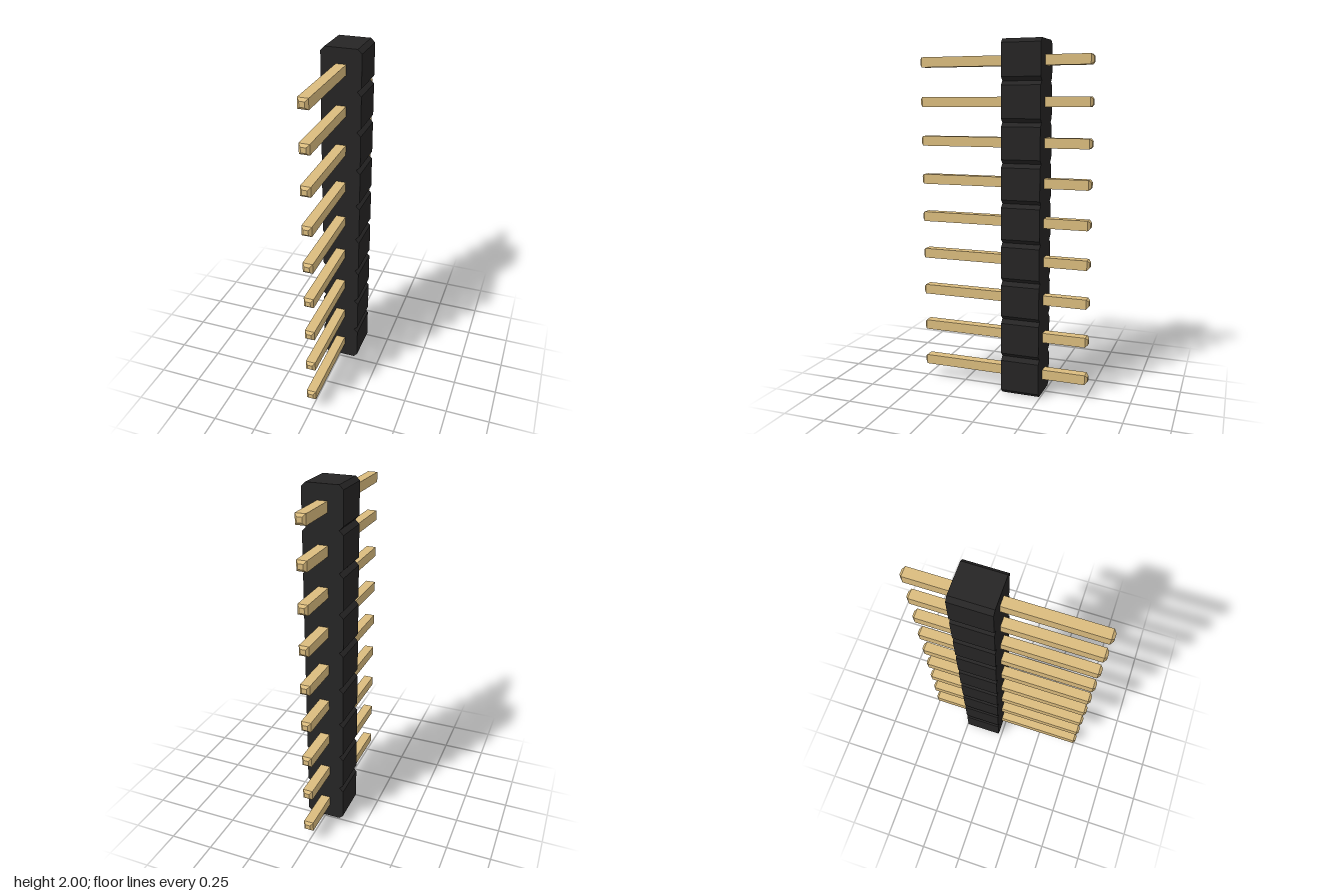
import * as THREE from 'three';

const COUNT = 9;
const PITCH = 2 / COUNT;
const HALF = PITCH / 2;       // body half width
const CHAMFER = PITCH / 10;   // notch between neighbouring blocks
const BODY_BACK = -0.2424;
const PIN_END = 0.505;
const PIN_HALF = 0.028;
const TIP = 0.014;            // length and half width of the pin tip

// One chamfered block per pin, merged into a single outline
function bodyGeometry() {
  const outline = [];
  for (let i = 0; i < COUNT; i++) {
    const y0 = i * PITCH, y1 = y0 + PITCH;
    outline.push([HALF - CHAMFER, y0], [HALF, y0 + CHAMFER], [HALF, y1 - CHAMFER]);
    if (i === COUNT - 1) outline.push([HALF - CHAMFER, y1]);
  }
  const right = outline.map(([x, y]) => new THREE.Vector2(x, y));
  const left = outline.map(([x, y]) => new THREE.Vector2(-x, y)).reverse();
  const geometry = new THREE.ExtrudeGeometry(new THREE.Shape([...right, ...left]), {
    depth: PITCH, bevelEnabled: false,
  });
  return geometry.translate(0, 0, BODY_BACK);
}

// Square bar along z with a tapered tip at each end
function pinGeometry() {
  const profile = [
    [0, -PIN_END], [TIP, -PIN_END], [PIN_HALF, -PIN_END + TIP],
    [PIN_HALF, PIN_END - TIP], [TIP, PIN_END], [0, PIN_END],
  ].map(([half, along]) => new THREE.Vector2(half * Math.SQRT2, along));
  const geometry = new THREE.LatheGeometry(profile, 4, Math.PI / 4).toNonIndexed();
  geometry.rotateX(Math.PI / 2);
  geometry.computeVertexNormals();
  return geometry;
}

export function createModel() {
  const black = new THREE.MeshStandardMaterial({ color: 0x262525 });
  black.name = 'black plastic';
  const gold = new THREE.MeshStandardMaterial({ color: 0xdbbc7e });
  gold.name = 'gold metal';

  const model = new THREE.Group();
  model.name = 'pinHeader';

  const body = new THREE.Mesh(bodyGeometry(), black);
  body.name = 'body';
  model.add(body);

  const pins = new THREE.Group();
  pins.name = 'pins';
  const geometry = pinGeometry();
  for (let i = 0; i < COUNT; i++) {
    const pin = new THREE.Mesh(geometry, gold);
    pin.name = `pin${i + 1}`;
    pin.position.y = (i + 0.5) * PITCH;
    pins.add(pin);
  }
  model.add(pins);
  return model;
}
